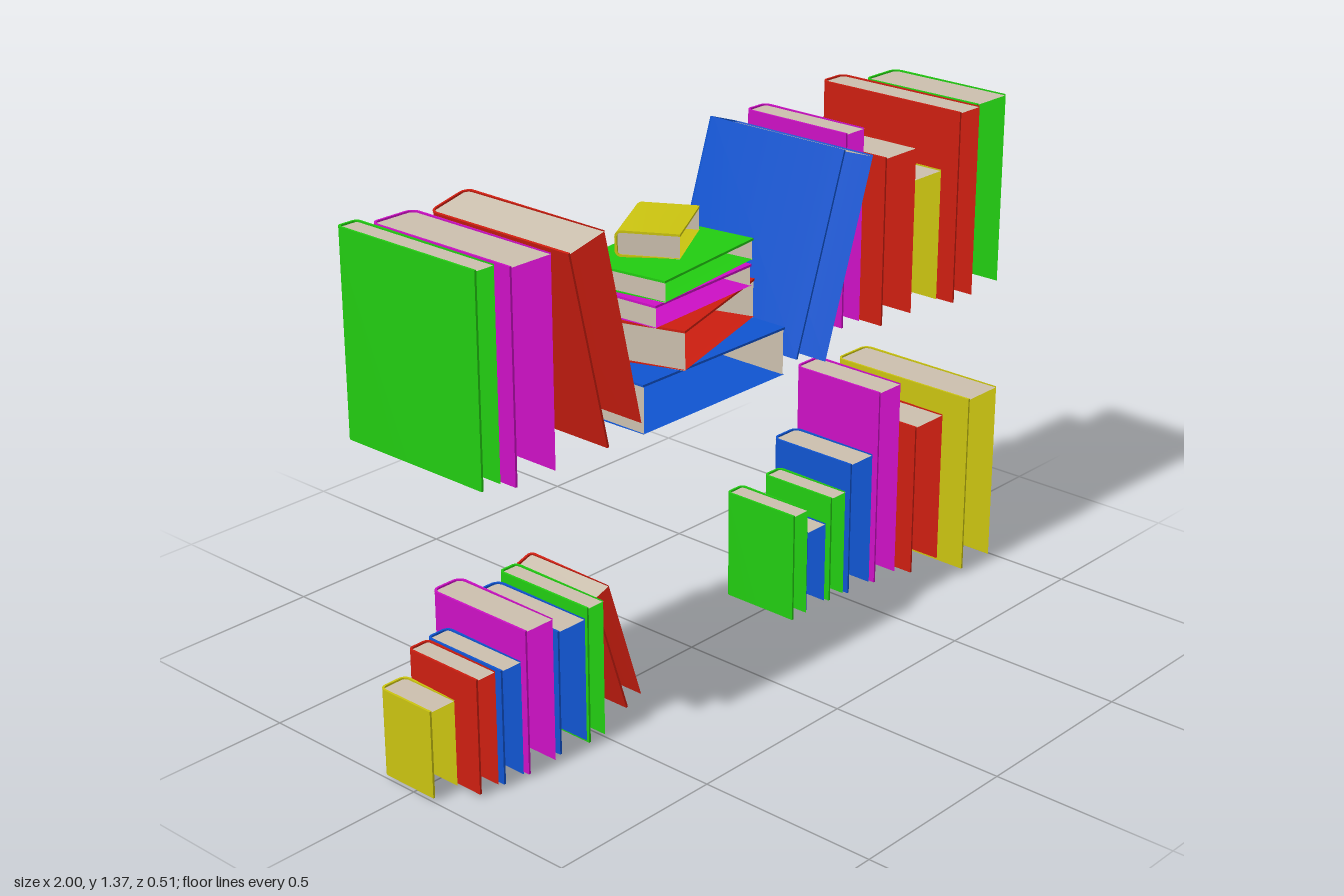
import * as THREE from 'three';
import { toCreasedNormals } from 'three/addons/utils/BufferGeometryUtils.js';

const material = (color) => new THREE.MeshStandardMaterial({ color, side: THREE.DoubleSide });
const COVERS = {
  green: material(0x22cc11), red: material(0xcc1e10), blue: material(0x1054d0),
  magenta: material(0xcc10c4), yellow: material(0xcac310),
};
const PAGES = material(0xcbbfae);
const WALL = 0.006;

// U-shaped cover: two boards and a spine with rounded corners at the back
function coverGeometry(t, h, d) {
  const x = t / 2, z = d / 2, r = Math.min(t * 0.25, 0.025), ri = r - WALL;
  const s = new THREE.Shape();
  s.moveTo(x, -z);
  s.absarc(x - r, z - r, r, 0, Math.PI / 2);
  s.absarc(-x + r, z - r, r, Math.PI / 2, Math.PI);
  s.lineTo(-x, -z);
  s.lineTo(-x + WALL, -z);
  s.absarc(-x + r, z - r, ri, Math.PI, Math.PI / 2, true);
  s.absarc(x - r, z - r, ri, Math.PI / 2, 0, true);
  s.lineTo(x - WALL, -z);
  s.closePath();
  const g = new THREE.ExtrudeGeometry(s, { depth: h, bevelEnabled: false, curveSegments: 4 });
  g.rotateX(-Math.PI / 2);
  return toCreasedNormals(g, 0.6);
}

// Book standing on its base, spine to the back, open at the fore edge
function book(name, color, t, h, d, bothEnds = false) {
  const group = new THREE.Group();
  group.name = name;
  const cover = new THREE.Mesh(coverGeometry(t, h, d), COVERS[color]);
  cover.name = 'cover';
  group.add(cover);
  for (const y of bothEnds ? [h - 0.004, 0.004] : [h - 0.004]) {
    const pages = new THREE.Mesh(new THREE.PlaneGeometry(t - WALL, d - WALL * 1.5), PAGES);
    pages.name = 'pageEdge';
    pages.rotation.x = y > h / 2 ? -Math.PI / 2 : Math.PI / 2;
    pages.position.set(0, y, WALL * 0.5);
    group.add(pages);
  }
  return group;
}

// Upright books: color, left x, right x, bottom, top, back z, front z
const UPRIGHT = {
  upperLeftBook: [
    ['green', -0.93, -0.865, 0.83, 1.36, -0.26, 0.2],
    ['magenta', -0.862, -0.728, 0.83, 1.36, -0.22, 0.24],
    ['blue', -0.717, -0.655, 0.83, 1.21, -0.24, 0.14],
  ],
  upperRightBook: [
    ['magenta', 0.42, 0.5, 0.83, 1.36, -0.19, 0.15],
    ['red', 0.503, 0.638, 0.83, 1.29, -0.25, 0.215],
    ['yellow', 0.64, 0.77, 0.83, 1.195, -0.16, 0.2],
    ['red', 0.77, 0.862, 0.83, 1.36, -0.22, 0.25],
    ['green', 0.865, 1, 0.83, 1.36, -0.145, 0.235],
  ],
  lowerLeftBook: [
    ['yellow', -1, -0.915, 0.01, 0.245, -0.11, 0.07],
    ['red', -0.913, -0.845, 0.01, 0.32, -0.1, 0.14],
    ['blue', -0.842, -0.77, 0.01, 0.32, -0.11, 0.15],
    ['magenta', -0.768, -0.67, 0.01, 0.4, -0.17, 0.16],
    ['blue', -0.65, -0.55, 0.01, 0.35, -0.16, 0.15],
    ['green', -0.548, -0.485, 0, 0.375, -0.16, 0.15],
  ],
  lowerRightBook: [
    ['green', 0.285, 0.35, 0.01, 0.32, -0.13, 0.11],
    ['blue', 0.352, 0.44, 0.01, 0.245, -0.11, 0.1],
    ['green', 0.442, 0.51, 0.01, 0.32, -0.13, 0.11],
    ['blue', 0.512, 0.613, 0.01, 0.4, -0.16, 0.12],
    ['magenta', 0.63, 0.73, 0, 0.575, -0.18, 0.12],
    ['red', 0.732, 0.862, 0.01, 0.455, -0.11, 0.17],
    ['yellow', 0.865, 1, 0, 0.52, -0.22, 0.25],
  ],
};

// Leaning books: color, base x, base y, tilt in degrees, thickness, height, back z, front z
const LEANING = [
  ['red', -0.5, 0.845, 13, 0.126, 0.525, -0.22, 0.24],
  ['blue', 0.188, 0.831, -18.9, 0.13, 0.54, -0.22, 0.24],
  ['red', -0.34, 0.02, 18, 0.064, 0.37, -0.17, 0.11],
];

// Stacked books: color, centre x, centre z, turn in degrees, bottom, top, length, depth
const STACKED = [
  ['blue', -0.16, 0.037, 0, 0.81, 0.943, 0.52, 0.373],
  ['red', -0.145, 0.052, 17, 0.945, 1.052, 0.41, 0.285],
  ['magenta', -0.165, 0.05, 4, 1.053, 1.115, 0.38, 0.265],
  ['green', -0.155, 0.05, 7.5, 1.116, 1.176, 0.38, 0.27],
  ['yellow', -0.142, 0.015, 30, 1.177, 1.245, 0.228, 0.163],
];

export function createModel() {
  const model = new THREE.Group();
  model.name = 'books';

  for (const [name, row] of Object.entries(UPRIGHT)) {
    for (const [color, x0, x1, y0, y1, z0, z1] of row) {
      const b = book(name, color, x1 - x0, y1 - y0, z1 - z0);
      b.position.set((x0 + x1) / 2, y0, (z0 + z1) / 2);
      model.add(b);
    }
  }

  for (const [color, x, y, tilt, t, h, z0, z1] of LEANING) {
    const b = book('leaningBook', color, t, h, z1 - z0);
    b.position.set(x, y, (z0 + z1) / 2);
    b.rotation.z = THREE.MathUtils.degToRad(tilt);
    model.add(b);
  }

  // Lying on their side, each turned on the one below
  for (const [color, x, z, turn, y0, y1, length, depth] of STACKED) {
    const a = THREE.MathUtils.degToRad(turn);
    const b = book('stackedBook', color, y1 - y0, length, depth, true);
    b.rotation.set(0, a, -Math.PI / 2);
    b.position.set(x - Math.cos(a) * length / 2, (y0 + y1) / 2, z + Math.sin(a) * length / 2);
    model.add(b);
  }
  return model;
}
